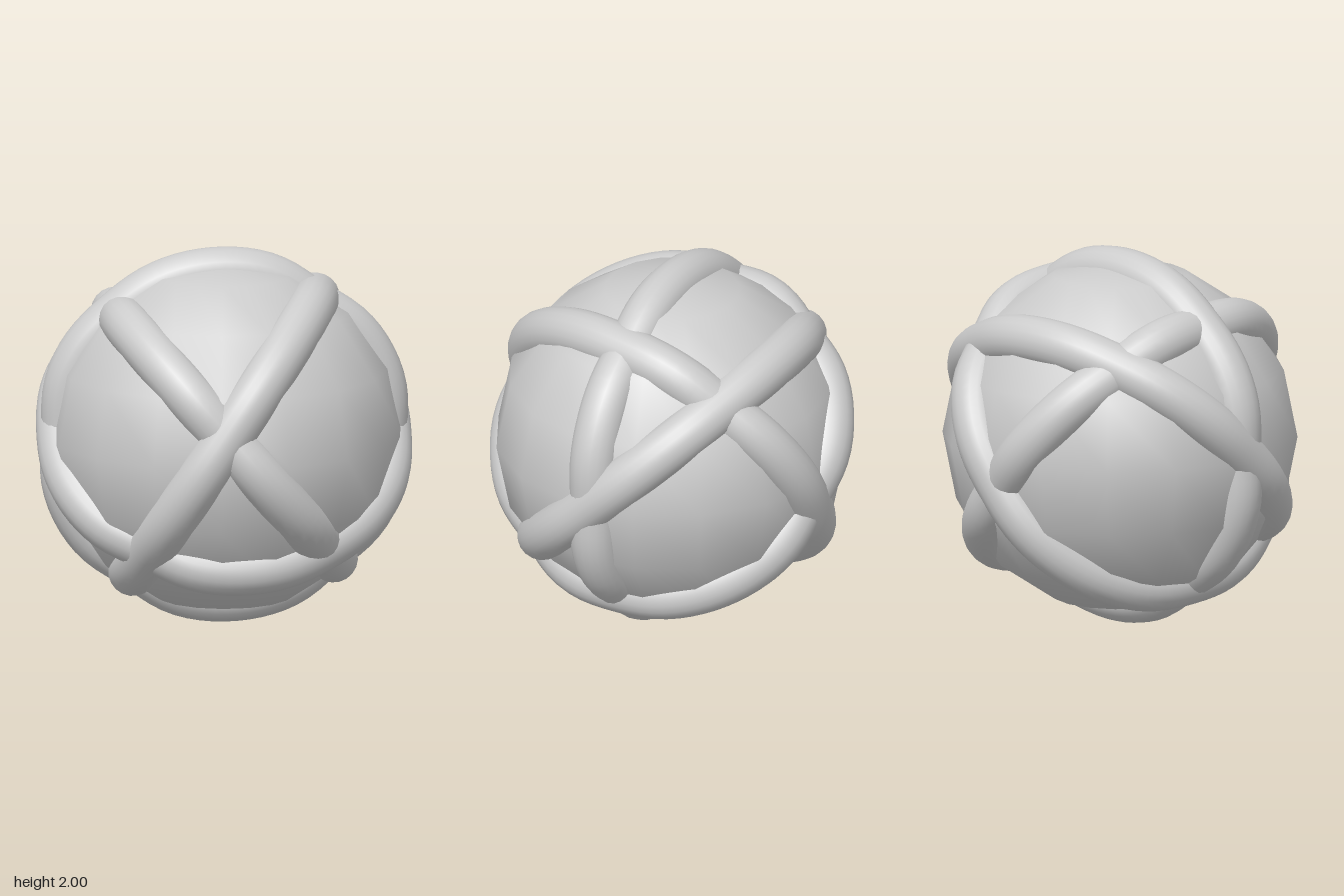
import * as THREE from 'three';

const RING_RADIUS = 0.872, TUBE_RADIUS = 0.128;
const UNDER_DIP = 0.04, OVER_DIP = 0.015, DIP_WIDTH = 0.23;

// Great circle around the core that sinks a little at each crossing with another ring
class RingCurve extends THREE.Curve {
  constructor(normal, dips) {
    super();
    this.u = new THREE.Vector3(0, 1, 0).cross(normal).normalize();
    this.v = normal.clone().cross(this.u);
    this.dips = dips;
  }
  getPoint(t, target = new THREE.Vector3()) {
    const a = t * Math.PI * 2;
    target.copy(this.u).multiplyScalar(Math.cos(a)).addScaledVector(this.v, Math.sin(a));
    let radius = RING_RADIUS;
    for (const { direction, depth } of this.dips) {
      radius -= depth * Math.exp(-((target.angleTo(direction) / DIP_WIDTH) ** 2));
    }
    return target.multiplyScalar(radius);
  }
}

export function createModel() {
  const model = new THREE.Group();
  model.name = 'wovenBall';
  const material = new THREE.MeshStandardMaterial({ color: 0xcccccc });

  // Core ball
  const core = new THREE.Mesh(new THREE.SphereGeometry(0.93, 16, 8), material);
  core.name = 'core';
  core.position.y = 1;
  model.add(core);

  // Four rings, each given by the normal of its plane
  const rings = [
    ['lowTiltRing', -0.42, 0.725, 0.55],
    ['backTiltRing', -0.54, 0.55, -0.637],
    ['uprightRing', 0.625, 0, -0.78],
    ['frontTiltRing', 0.628, 0.65, 0.43],
  ].map(([name, x, y, z]) => ({ name, normal: new THREE.Vector3(x, y, z).normalize(), dips: [] }));

  // Each pair crosses twice; earlier rings lie on top, except at one end of two pairs
  const swappedPairs = ['01', '23'];
  rings.forEach((a, i) => rings.slice(i + 1).forEach((b, k) => {
    for (const side of [1, -1]) {
      const direction = a.normal.clone().cross(b.normal).normalize().multiplyScalar(side);
      const swapped = side > 0 && swappedPairs.includes(`${i}${i + 1 + k}`);
      a.dips.push({ direction, depth: swapped ? UNDER_DIP : OVER_DIP });
      b.dips.push({ direction, depth: swapped ? OVER_DIP : UNDER_DIP });
    }
  }));

  for (const { name, normal, dips } of rings) {
    const curve = new RingCurve(normal, dips);
    const ring = new THREE.Mesh(new THREE.TubeGeometry(curve, 96, TUBE_RADIUS, 20, true), material);
    ring.name = name;
    ring.position.y = 1;
    model.add(ring);
  }

  return model;
}
